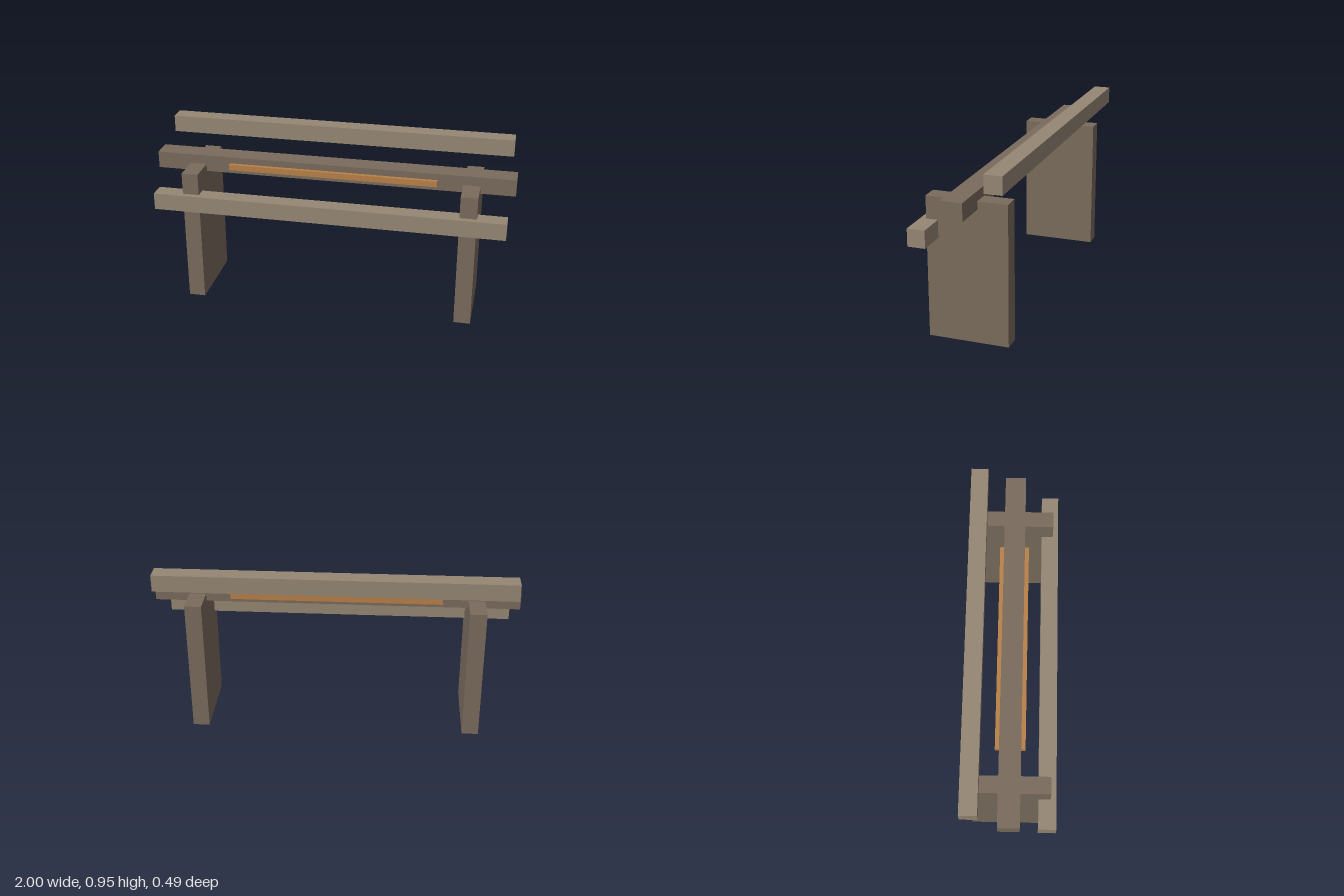
import * as THREE from 'three';

export function createModel() {
  const group = new THREE.Group();
  const material = (color) => new THREE.MeshStandardMaterial({ color });
  const darkWood = material(0x7a6c5d);
  const paleWood = material(0x968774);
  const orangeWood = material(0xb98048);

  function addBox(name, size, position, mat) {
    const mesh = new THREE.Mesh(new THREE.BoxGeometry(...size), mat);
    mesh.name = name;
    mesh.position.set(...position);
    group.add(mesh);
  }

  // Slab legs
  for (const [name, side] of [['leftLeg', 1], ['rightLeg', -1]]) {
    addBox(name, [0.092, 0.76, 0.432], [side * 0.765, 0.38, 0], darkWood);
  }

  // Central beam let into the tops of the legs, with a thin strip through it
  addBox('centreBeam', [2, 0.094, 0.115], [0, 0.765, 0], darkWood);
  addBox('centreStrip', [1.16, 0.032, 0.16], [0, 0.76, 0], orangeWood);

  // Low front rail and raised back rail
  addBox('frontRail', [1.94, 0.094, 0.094], [0, 0.592, 0.2], paleWood);
  addBox('backRail', [1.94, 0.094, 0.094], [0, 0.907, -0.2], paleWood);

  return group;
}
